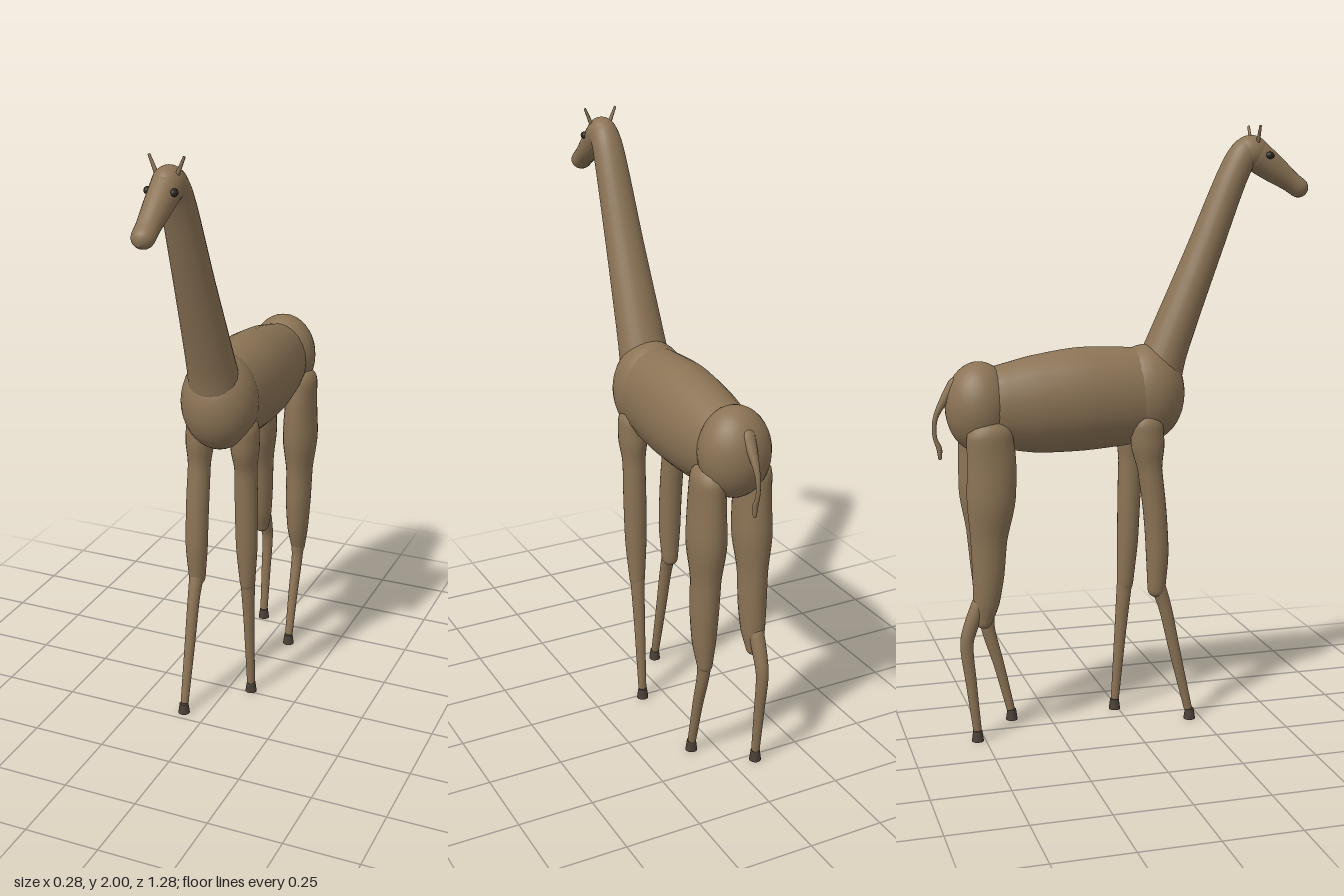
import * as THREE from 'three';

const hide = new THREE.MeshStandardMaterial({ color: 0x8b7355 });
hide.name = 'tan hide';
const dark = new THREE.MeshStandardMaterial({ color: 0x4a3f36 });
dark.name = 'dark hoof';
const black = new THREE.MeshStandardMaterial({ color: 0x2b2520 });
black.name = 'dark eye';

// Smooth round-ended loft through elliptical sections [y, z, half width, half depth] at a fixed x
function loft(name, x, sections, { cap = 0.5, steps = 5, sides = 24, material = hide } = {}) {
  const path = new THREE.CatmullRomCurve3(sections.map(([y, z]) => new THREE.Vector3(x, y, z)));
  const size = new THREE.CatmullRomCurve3(sections.map(([, , w, d]) => new THREE.Vector3(w, d, 0)));
  const rings = [];
  const n = (sections.length - 1) * steps;
  for (let i = 0; i <= n; i++) {
    const t = i / n;
    const s = size.getPoint(t);
    rings.push({ c: path.getPoint(t), t: path.getTangent(t), w: s.x, d: s.y });
  }
  // Rounded caps grown outward from the first and last rings
  const grow = (ring, dir) => [0.35, 0.65, 0.88, 0.999].map((k) => ({
    c: ring.c.clone().addScaledVector(ring.t, dir * k * cap * 2 * Math.min(ring.w, ring.d)),
    t: ring.t, w: ring.w * Math.sqrt(1 - k * k), d: ring.d * Math.sqrt(1 - k * k),
  }));
  const all = [...grow(rings[0], -1).reverse(), ...rings, ...grow(rings[n], 1)];

  const pos = [];
  const index = [];
  all.forEach((r, i) => {
    for (let j = 0; j < sides; j++) {
      const a = (j / sides) * Math.PI * 2;
      const u = Math.cos(a) * r.w;
      const v = Math.sin(a) * r.d;
      pos.push(r.c.x + u, r.c.y - r.t.z * v, r.c.z + r.t.y * v);
      if (i === 0) continue;
      const k = (j + 1) % sides;
      const p = (i - 1) * sides;
      const q = i * sides;
      index.push(p + j, q + j, p + k, p + k, q + j, q + k);
    }
  });
  const geo = new THREE.BufferGeometry();
  geo.setAttribute('position', new THREE.Float32BufferAttribute(pos, 3));
  geo.setIndex(index);
  geo.computeVertexNormals();
  const mesh = new THREE.Mesh(geo, material);
  mesh.name = name;
  return mesh;
}

function ball(name, material, [x, y, z], [rx, ry, rz]) {
  const mesh = new THREE.Mesh(new THREE.SphereGeometry(1, 28, 20), material);
  mesh.name = name;
  mesh.position.set(x, y, z);
  mesh.scale.set(rx, ry, rz);
  return mesh;
}

// A leg is a muscled upper part, a thin shin and a hoof
function leg(name, x, upper, shin, hoofZ) {
  const group = new THREE.Group();
  group.name = name;
  const hoof = new THREE.Mesh(new THREE.CylinderGeometry(0.015, 0.02, 0.036, 20), dark);
  hoof.name = 'hoof';
  hoof.position.set(x, 0.018, hoofZ);
  group.add(loft('upperLeg', x, upper), loft('shin', x, shin, { cap: 0.3 }), hoof);
  return group;
}

export function createModel() {
  const model = new THREE.Group();
  model.name = 'giraffe';

  // Trunk
  model.add(
    loft('barrel', 0, [
      [1.12, 0.09, 0.118, 0.155], [1.118, -0.02, 0.128, 0.166], [1.115, -0.15, 0.134, 0.172],
      [1.105, -0.3, 0.126, 0.162], [1.1, -0.43, 0.108, 0.136],
    ], { cap: 0.3 }),
    ball('chest', hide, [0, 1.125, 0.075], [0.128, 0.164, 0.13]),
    ball('rump', hide, [0, 1.105, -0.488], [0.116, 0.147, 0.11]),
  );

  // Neck and head
  model.add(
    loft('neck', 0, [
      [1.19, 0.115, 0.086, 0.083], [1.27, 0.144, 0.081, 0.073], [1.57, 0.265, 0.065, 0.059],
      [1.87, 0.388, 0.052, 0.05], [1.91, 0.415, 0.048, 0.05],
    ]),
    ball('skull', hide, [0, 1.912, 0.435], [0.05, 0.057, 0.062]),
    loft('muzzle', 0, [
      [1.905, 0.45, 0.048, 0.054], [1.86, 0.515, 0.042, 0.046],
      [1.815, 0.58, 0.036, 0.034], [1.797, 0.606, 0.036, 0.033],
    ]),
  );
  for (const s of [-1, 1]) {
    model.add(ball('eye', black, [s * 0.041, 1.903, 0.487], [0.012, 0.012, 0.015]));
    const horn = new THREE.Mesh(new THREE.CylinderGeometry(0.004, 0.007, 0.06, 10), hide);
    horn.name = 'horn';
    horn.position.set(s * 0.044, 1.971, 0.447);
    horn.rotation.z = -s * 0.4;
    model.add(horn);
  }

  // Tail
  model.add(loft('tail', 0, [
    [1.18, -0.565, 0.024, 0.024], [1.13, -0.602, 0.015, 0.014], [1.07, -0.631, 0.008, 0.008],
    [1.01, -0.633, 0.007, 0.007], [0.975, -0.62, 0.009, 0.009], [0.942, -0.618, 0.006, 0.006],
  ], { sides: 14 }));

  // Front legs: the left one is upright, the right one steps forward
  model.add(
    leg('frontLeftLeg', 0.08, [
      [1.03, 0.055, 0.046, 0.055], [0.97, 0.053, 0.047, 0.056], [0.88, 0.045, 0.038, 0.041],
      [0.75, 0.04, 0.039, 0.039], [0.6, 0.035, 0.037, 0.036], [0.45, 0.026, 0.026, 0.028],
    ], [[0.47, 0.026, 0.025, 0.027], [0.3, 0.011, 0.019, 0.021], [0.04, -0.01, 0.014, 0.014]], -0.012),
    leg('frontRightLeg', -0.08, [
      [1.03, 0.055, 0.046, 0.055], [0.97, 0.058, 0.047, 0.056], [0.88, 0.066, 0.038, 0.041],
      [0.75, 0.082, 0.039, 0.039], [0.6, 0.092, 0.038, 0.038], [0.47, 0.09, 0.028, 0.03],
    ], [[0.48, 0.095, 0.025, 0.026], [0.41, 0.119, 0.021, 0.022], [0.25, 0.155, 0.018, 0.019],
      [0.04, 0.204, 0.014, 0.014]], 0.21),
  );

  // Hind legs: thigh, calf and a bent hock
  model.add(
    leg('hindLeftLeg', 0.08, [
      [1.02, -0.47, 0.052, 0.075], [0.94, -0.465, 0.054, 0.08], [0.82, -0.464, 0.06, 0.082],
      [0.68, -0.462, 0.046, 0.061], [0.56, -0.456, 0.044, 0.056], [0.45, -0.456, 0.037, 0.045],
      [0.37, -0.463, 0.025, 0.028],
    ], [[0.39, -0.46, 0.024, 0.028], [0.33, -0.455, 0.02, 0.023], [0.2, -0.42, 0.017, 0.018],
      [0.04, -0.382, 0.014, 0.014]], -0.378),
    leg('hindRightLeg', -0.08, [
      [1.02, -0.47, 0.052, 0.075], [0.94, -0.465, 0.054, 0.08], [0.82, -0.468, 0.06, 0.08],
      [0.68, -0.478, 0.046, 0.06], [0.56, -0.482, 0.044, 0.052], [0.47, -0.49, 0.038, 0.043],
      [0.41, -0.498, 0.026, 0.028],
    ], [[0.47, -0.512, 0.025, 0.026], [0.4, -0.54, 0.023, 0.024], [0.34, -0.556, 0.02, 0.022],
      [0.2, -0.544, 0.017, 0.018], [0.04, -0.527, 0.014, 0.014]], -0.526),
  );

  return model;
}
